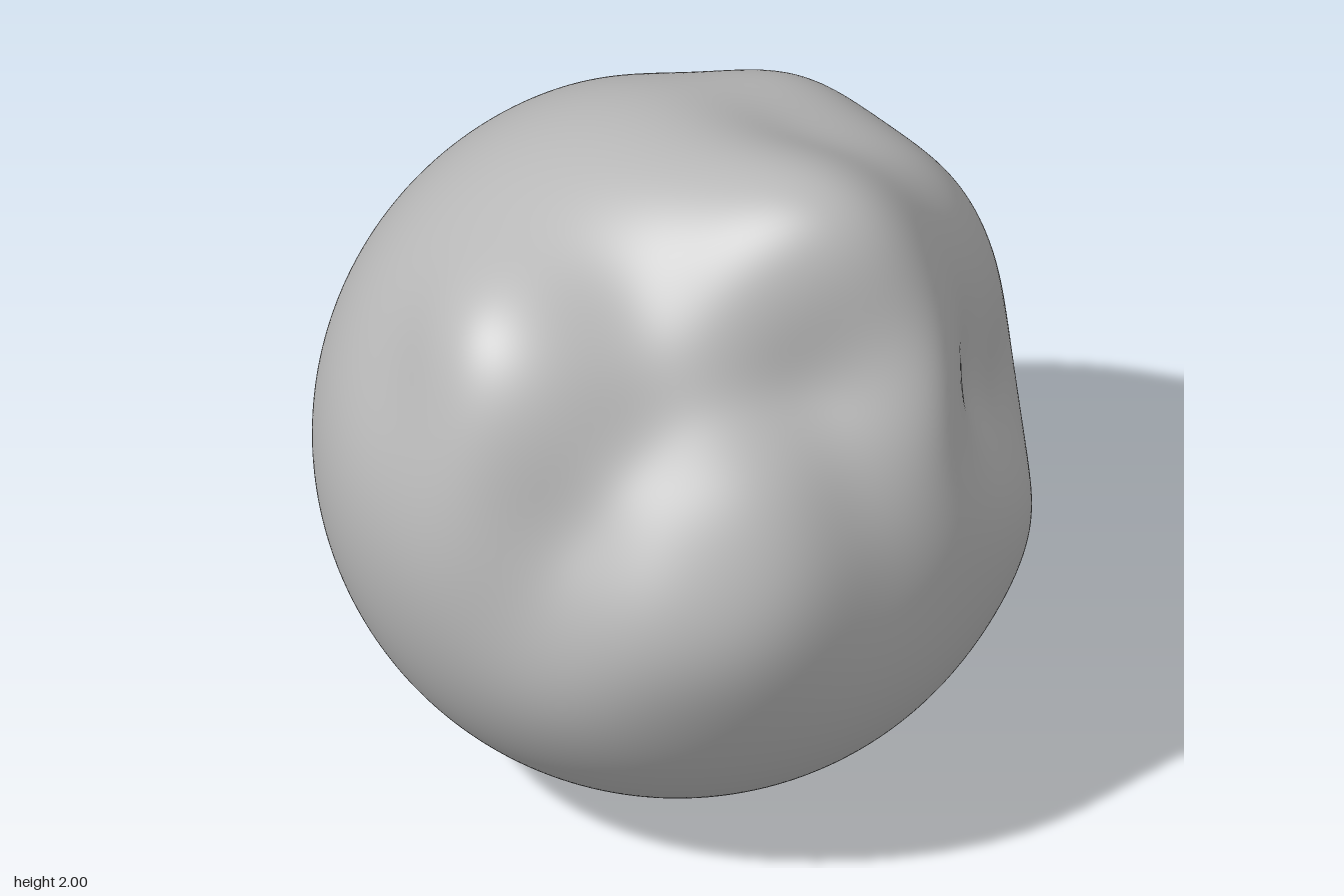
import * as THREE from 'three';
import { mergeVertices } from 'three/addons/utils/BufferGeometryUtils.js';

const BASE = 0.98, SPREAD = 0.26;

// A sculpting mark: direction from the ball's centre and the radius wanted there
const mark = (x, y, z, r) => ({ dir: new THREE.Vector3(x, y, z).normalize(), r, push: 0 });

const marks = [
  // crown hump and the ridge running down from it
  [0.44, 1, -0.1, 1.11], [0.62, 0.86, -0.2, 1.09], [0.78, 0.48, -0.32, 0.965],
  // front shoulder hump
  [0, 0.7, 0.72, 1.04], [0, 0.45, 0.88, 1], [0, 0.92, 0.38, 0.955],
  // long valley winding from the crown to the front
  [0.72, 0.65, 0.04, 0.86], [0.62, 0.62, 0.3, 0.83], [0.3, 0.82, 0.4, 0.89],
  [0.51, 0.57, 0.56, 0.84], [0.46, 0.32, 0.8, 0.87], [0.43, 0.05, 0.88, 0.92],
  // side swells with a shallow dip between them
  [0.76, 0.3, 0.52, 0.935], [0.88, 0.22, 0.27, 0.945], [0.87, 0.36, 0.08, 0.88], [0.92, 0.08, 0.04, 0.92],
  [0.9, 0.18, -0.2, 0.94], [0.93, -0.15, -0.15, 0.95], [0.93, -0.15, 0.2, 0.965],
  [0.86, 0, 0.5, 1], [0.66, 0, 0.72, 0.98],
  // curved hollow at the back, around a low swell
  [0.8, 0.4, -0.5, 0.87], [0.78, 0.2, -0.58, 0.865], [0.62, 0.12, -0.76, 0.86], [0.46, 0.05, -0.88, 0.92],
  [0.62, 0.38, -0.66, 0.875], [0.74, -0.1, -0.66, 0.955],
  // rim above the hollow, then a dent and a hump behind the crown
  [0.46, 0.57, -0.69, 0.97], [0.25, 0.62, -0.76, 1.01], [0.32, 0.84, -0.42, 1.02],
  [0.04, 0.9, -0.44, 0.95], [-0.2, 0.82, -0.58, 1.01],
].map((m) => mark(...m));

// Ring of marks that keeps the ball round beyond the sculpted side
for (let i = 0; i < 12; i++) {
  const t = (i / 12) * Math.PI * 2;
  marks.push(mark(0.14 - 0.59 * Math.cos(t), 0.1 + 0.79 * Math.cos(t), 0.98 * Math.sin(t), BASE));
}

// Radius in a direction: the ball plus a soft push from every mark
function radiusAt(dir) {
  let r = BASE;
  for (const m of marks) r += m.push * Math.exp(-dir.distanceToSquared(m.dir) / (SPREAD * SPREAD));
  return r;
}

// Adjust the pushes until each mark has about its wanted radius
for (let i = 0; i < 30; i++) {
  for (const m of marks) m.push += 0.8 * (m.r - radiusAt(m.dir));
}

export function createModel() {
  const clay = new THREE.MeshStandardMaterial({ color: 0xb8b8b8 });
  clay.name = 'clayGrey';

  // Even ball with shared vertices, so the normals come out smooth
  const ball = new THREE.IcosahedronGeometry(1, 50);
  ball.deleteAttribute('uv');
  ball.deleteAttribute('normal');
  const geometry = mergeVertices(ball, 1e-5);

  // Sculpt each vertex along its direction
  const pos = geometry.attributes.position;
  const v = new THREE.Vector3();
  for (let i = 0; i < pos.count; i++) {
    v.fromBufferAttribute(pos, i).normalize();
    v.multiplyScalar(radiusAt(v));
    pos.setXYZ(i, v.x + 0.02, v.y + 0.98, v.z);
  }
  geometry.computeVertexNormals();

  const body = new THREE.Mesh(geometry, clay);
  body.name = 'sculptedBall';
  const group = new THREE.Group();
  group.name = 'sculptedBallModel';
  group.add(body);
  return group;
}
